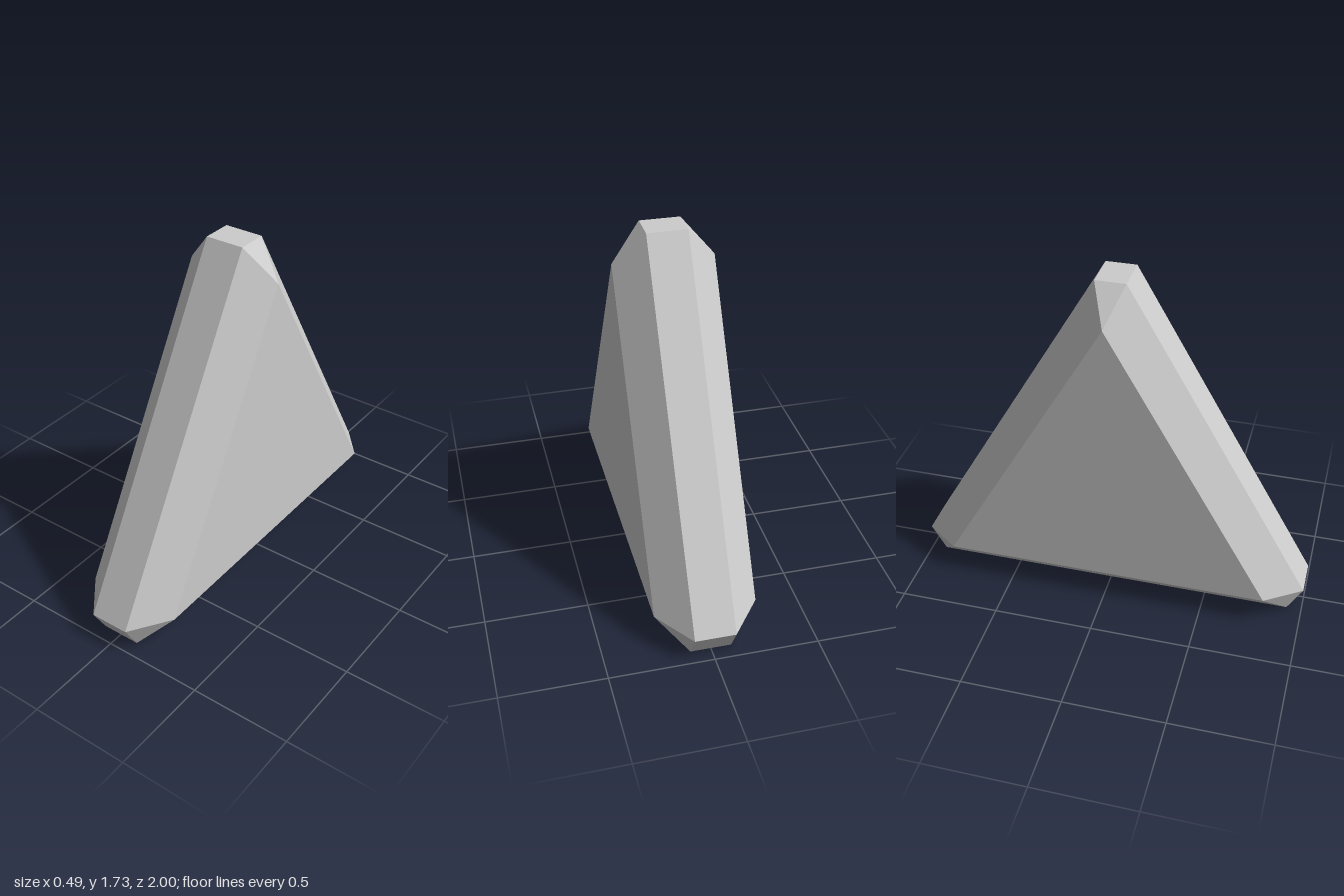
import * as THREE from 'three';
import { ConvexGeometry } from 'three/addons/geometries/ConvexGeometry.js';

const HALF_FACE = 0.245; // x of the flat triangular faces
const HALF_RIM = 0.098; // x of the rim's edges
const FACE_RADIUS = 0.943; // centre to corner of a triangular face
const CUT = 0.075; // half width of each clipped corner
const SIDE = 2 + 2 * CUT; // side of the rim triangle before clipping
const CENTRE_Y = SIDE * Math.sqrt(3) / 6;
const CUT_RADIUS = SIDE / Math.sqrt(3) - CUT * Math.sqrt(3); // centre to clipped corner

export function createModel() {
  const points = [];
  for (const s of [-1, 1]) {
    for (let i = 0; i < 3; i++) {
      const a = i * Math.PI * 2 / 3;
      // place a point by its distance along and across the corner direction
      const add = (x, along, across) => points.push(new THREE.Vector3(
        s * x,
        CENTRE_Y + along * Math.cos(a) - across * Math.sin(a),
        along * Math.sin(a) + across * Math.cos(a)));
      add(HALF_FACE, FACE_RADIUS, 0);
      add(HALF_RIM, CUT_RADIUS, CUT);
      add(HALF_RIM, CUT_RADIUS, -CUT);
    }
  }

  // bevelled triangular block with clipped corners
  const block = new THREE.Mesh(
    new ConvexGeometry(points),
    new THREE.MeshStandardMaterial({ color: 0xcccccc, flatShading: true }));
  block.name = 'bevelledTriangleBlock';

  const group = new THREE.Group();
  group.name = 'triangularBlock';
  group.add(block);
  return group;
}
